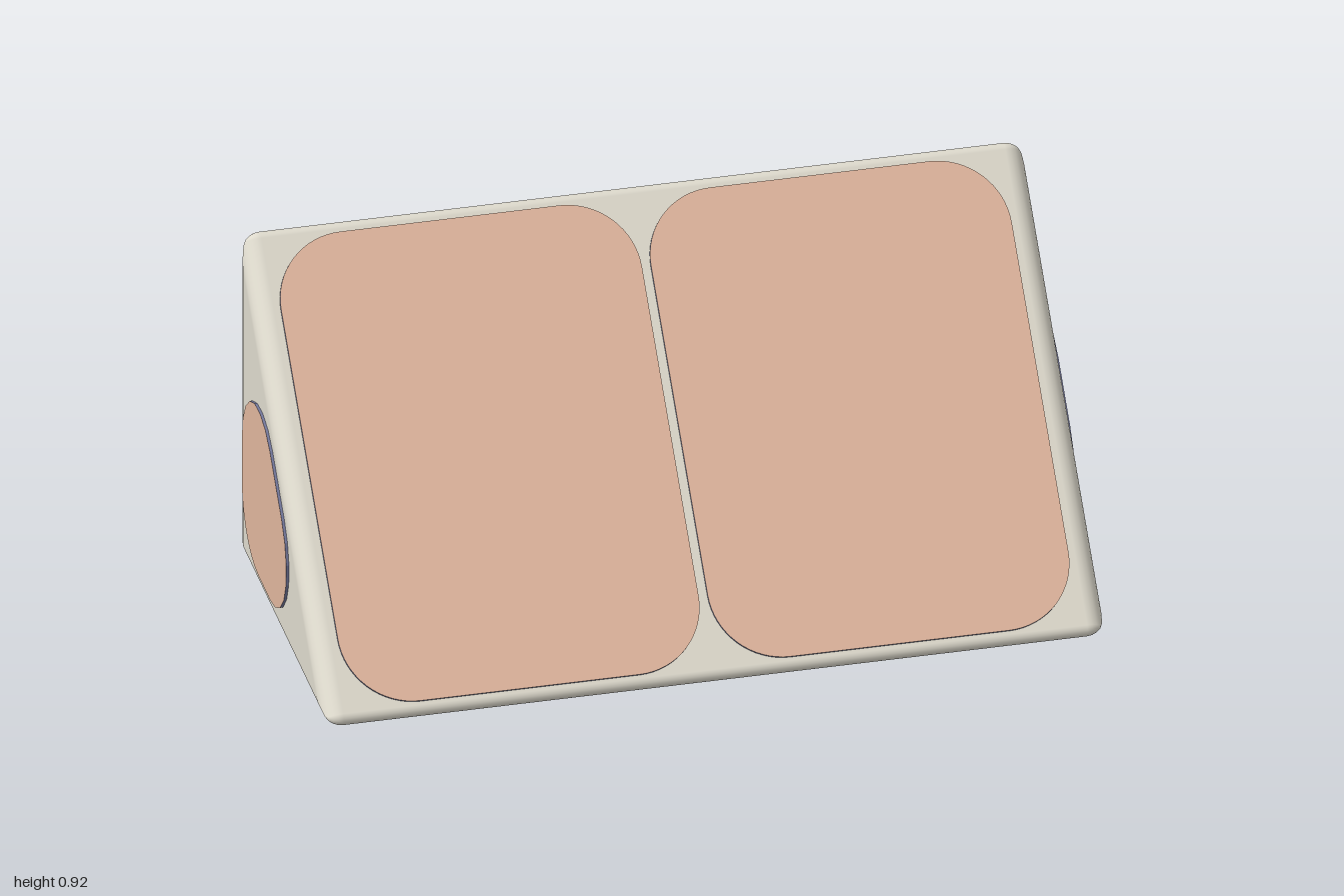
import * as THREE from 'three';

const HALF = 0.993, ROUND = 0.05, DEPTH = 0.014;

// Right-triangle outline in (z, y), inset by d, with three rounded corners
function wedgeOutline(d, rBack, rFront, rTop, steps) {
  const corner = (r, at, from, to) => {
    const b = 0.008 + d + r, k = -0.453 + d + r, h = 0.498 - Math.SQRT2 * (d + r);
    const [cz, cy] = at(b, k, h);
    return Array.from({ length: steps + 1 }, (_, i) => {
      const a = THREE.MathUtils.degToRad(from + (to - from) * i / steps);
      const nz = Math.cos(a), ny = Math.sin(a);
      return { z: cz + r * nz, y: cy + r * ny, nz, ny };
    });
  };
  return [
    ...corner(rBack, (b, k) => [k, b], 180, 270),
    ...corner(rFront, (b, k, h) => [h - b, b], 270, 405),
    ...corner(rTop, (b, k, h) => [k, h - k], 45, 180),
  ];
}

// Rounded wedge skinned over cross-sections along x
function wedgeGeometry() {
  const pos = [], nor = [], idx = [], rings = [], N = 6;
  for (const side of [-1, 1]) {
    for (let i = 0; i <= N; i++) {
      const t = (side < 0 ? N - i : i) / N * Math.PI / 2;
      rings.push([side, t]);
    }
  }
  let count = 0;
  for (const [side, t] of rings) {
    const c = Math.cos(t), s = Math.sin(t), d = ROUND * (1 - c);
    const tip = Math.max(0.022 - d, 0);
    const ring = wedgeOutline(d, Math.max(0.05 - d, 0), tip, tip, 8);
    count = ring.length;
    for (const p of ring) {
      pos.push(side * (HALF - ROUND + ROUND * s), p.y, p.z);
      nor.push(side * s, c * p.ny, c * p.nz);
    }
  }
  for (let i = 0; i < rings.length - 1; i++) {
    for (let j = 0; j < count; j++) {
      const a = i * count + j, b = i * count + (j + 1) % count;
      idx.push(a, a + count, b, b, a + count, b + count);
    }
  }
  // flat ends
  const last = (rings.length - 1) * count;
  for (let j = 1; j < count - 1; j++) {
    idx.push(0, j, j + 1, last, last + j + 1, last + j);
  }
  const geo = new THREE.BufferGeometry();
  geo.setAttribute('position', new THREE.Float32BufferAttribute(pos, 3));
  geo.setAttribute('normal', new THREE.Float32BufferAttribute(nor, 3));
  geo.setIndex(idx);
  return geo;
}

function roundedRect(w, h, r) {
  const s = new THREE.Shape(), x = w / 2, y = h / 2;
  s.absarc(x - r, y - r, r, 0, Math.PI / 2);
  s.absarc(-x + r, y - r, r, Math.PI / 2, Math.PI);
  s.absarc(-x + r, -y + r, r, Math.PI, Math.PI * 1.5);
  s.absarc(x - r, -y + r, r, Math.PI * 1.5, Math.PI * 2);
  s.closePath();
  return s;
}

export function createModel() {
  const group = new THREE.Group();
  const material = (name, color) => {
    const m = new THREE.MeshStandardMaterial({ color });
    m.name = name;
    return m;
  };
  const shell = material('warm grey shell', 0xdedacd);
  const face = material('peach panel', 0xdfb59d);
  const rim = material('slate rim', 0x74789c);

  const body = new THREE.Mesh(wedgeGeometry(), shell);
  body.name = 'wedgeBody';
  group.add(body);

  // Panel whose outer face lies at its position
  const addPanel = (name, shape, position, rx, ry) => {
    const geo = new THREE.ExtrudeGeometry(shape, { depth: DEPTH, bevelEnabled: false, curveSegments: 8 });
    geo.translate(0, 0, -DEPTH);
    const mesh = new THREE.Mesh(geo, [face, rim]);
    mesh.name = name;
    mesh.position.set(...position);
    mesh.rotation.set(rx, ry, 0);
    group.add(mesh);
  };

  for (const side of [-1, 1]) {
    const label = side > 0 ? 'left' : 'right', x = side * 0.469;
    addPanel(label + 'SlopePanel', roundedRect(0.915, 1.21, 0.18), [x, 0.484, 0.023], -Math.PI / 4, 0);
    addPanel(label + 'BackPanel', roundedRect(0.915, 0.81, 0.18), [x, 0.48, -0.46], 0, Math.PI);
    addPanel(label + 'BottomPanel', roundedRect(0.915, 0.815, 0.18), [x, 0.001, 0.022], Math.PI / 2, 0);
    // triangular end panel
    const outline = wedgeOutline(0.066, 0.17, 0.174, 0.174, 7);
    const shape = new THREE.Shape(outline.map(p => new THREE.Vector2(-side * p.z, p.y)));
    addPanel(label + 'EndPanel', shape, [side, 0, 0], 0, side * Math.PI / 2);
  }
  return group;
}
